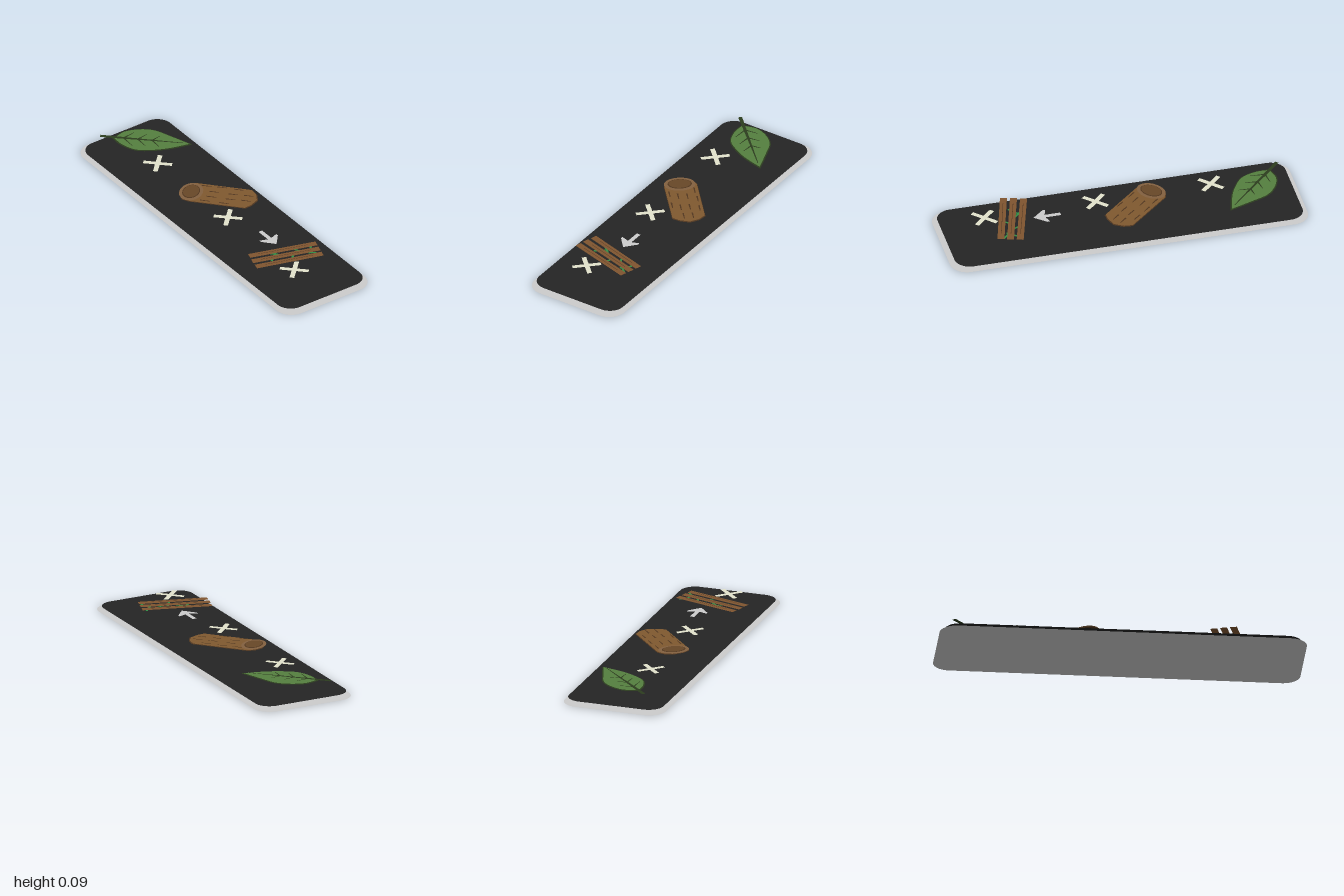
import * as THREE from 'three';

const mat = (color) => new THREE.MeshStandardMaterial({ color, side: THREE.DoubleSide });
const M = {
  rim: mat(0xcccccc), panel: mat(0x242424), cream: mat(0xe2e2cc),
  leaf: mat(0x55803f), leafDark: mat(0x2c3d1e),
  bark: mat(0x80592f), barkDark: mat(0x51371f), core: mat(0x684828), wood: mat(0x83603f),
  slat: mat(0x80552f), tie: mat(0x2f8f45),
};

// Plan coordinates are hundredths of a unit: x to the right, z toward the front
const vec = ([x, z]) => new THREE.Vector2(x / 100, -z / 100);

function flat(name, shape, material, y) {
  const geometry = new THREE.ShapeGeometry(shape, 16).rotateX(-Math.PI / 2);
  const mesh = new THREE.Mesh(geometry, material);
  mesh.name = name;
  mesh.position.y = y;
  return mesh;
}

const poly = (points) => new THREE.Shape(points.map(vec));

// Straight stroke that tapers from width w0 to w1
function stroke([x0, z0], [x1, z1], w0, w1 = w0) {
  const len = Math.hypot(x1 - x0, z1 - z0);
  const nx = -(z1 - z0) / len / 2, nz = (x1 - x0) / len / 2;
  return poly([
    [x0 + nx * w0, z0 + nz * w0], [x0 - nx * w0, z0 - nz * w0],
    [x1 - nx * w1, z1 - nz * w1], [x1 + nx * w1, z1 + nz * w1],
  ]);
}

function roundedPlate(hx, hz, r) {
  const s = new THREE.Shape();
  s.absarc(hx - r, hz - r, r, 0, Math.PI / 2);
  s.absarc(-hx + r, hz - r, r, Math.PI / 2, Math.PI);
  s.absarc(-hx + r, -hz + r, r, Math.PI, Math.PI * 1.5);
  s.absarc(hx - r, -hz + r, r, Math.PI * 1.5, Math.PI * 2);
  return s;
}

function ellipse([x, z], rx, rz, turn) {
  const s = new THREE.Shape();
  s.absellipse(x / 100, -z / 100, rx / 100, rz / 100, 0, Math.PI * 2, false, turn);
  return s;
}

// Copy of a point list shrunk about a centre
const inset = (points, [cx, cz], k) => points.map(([x, z]) => [cx + (x - cx) * k, cz + (z - cz) * k]);

function makeLeaf() {
  const g = new THREE.Group();
  g.name = 'leaf';
  const tip = [-57, -19.5], base = [-87, 12.5];
  const left = [tip, [-70, -15], [-80, -11], [-86, -4.5], [-89, 4], base];
  const right = [base, [-79, 12.5], [-70, 9], [-64, 1], [-60, -8], tip];
  const outline = (k) => {
    const s = new THREE.Shape();
    const sides = [left, right].map((p) => inset(p, [-75, -1], k).map(vec));
    s.moveTo(sides[0][0].x, sides[0][0].y);
    sides.forEach((p) => s.splineThru(p.slice(1)));
    return s;
  };
  g.add(flat('leafEdge', outline(1), M.leafDark, 0.085));
  g.add(flat('leafBlade', outline(0.94), M.leaf, 0.088));
  g.add(flat('leafStem', stroke([-92, 17], [-60, -16], 2.2, 0.4), M.leafDark, 0.092));
  // Side veins branch in pairs from the midrib
  for (const t of [0.28, 0.45, 0.62]) {
    const p = [-92 + 32 * t, 17 - 33 * t];
    g.add(flat('leafVein', stroke(p, [p[0] - 1, p[1] - 9 + 5 * t], 1, 0.3), M.leafDark, 0.092));
    g.add(flat('leafVein', stroke(p, [p[0] + 10 - 5 * t, p[1] + 0.5], 1, 0.3), M.leafDark, 0.092));
  }
  return g;
}

function makeLog() {
  const g = new THREE.Group();
  g.name = 'log';
  const body = [[-27, 5], [-26, 1], [-2, -20.5], [3, -20], [8, -17], [10, -11.5],
    [10.3, -7], [-13, 14], [-17, 16], [-21, 14.5], [-26, 10]];
  g.add(flat('logEdge', poly(body), M.barkDark, 0.085));
  g.add(flat('logBark', poly(inset(body, [-8, -2], 0.97)), M.bark, 0.088));
  // Cut end with its rings
  const end = [-19.5, 8];
  [[8.6, 6.4, M.wood], [6.6, 4.7, M.barkDark], [6, 4.2, M.core]].forEach(([a, b, m], i) =>
    g.add(flat('logEndRing', ellipse(end, a, b, -0.9), m, 0.091 + i * 0.002)));
  // Bark grooves run along the log
  const grooves = [[-19, -2], [-13, -8], [-6, -14], [-12, -2], [-4, -9], [2, -15],
    [-9, 2], [-1, -5], [5, -11], [-8, 7], [0, 0]];
  for (const [x, z] of grooves) {
    g.add(flat('barkGroove', stroke([x - 2, z + 1.8], [x + 2, z - 1.8], 0.9, 0.5), M.barkDark, 0.092));
  }
  return g;
}

function makeBundle() {
  const g = new THREE.Group();
  g.name = 'slatBundle';
  // Ties cross between the slats
  const ties = [[[58, -17], [66, -10]], [[63, -9], [69, -15]], [[56, -5], [63, -8]],
    [[53, 8], [60, 1]], [[60, -3], [66, 1]], [[54, 4], [60, 11]]];
  ties.forEach(([a, b]) => g.add(flat('tie', stroke(a, b, 1.2), M.tie, 0.086)));
  const slats = [[[60.5, -18.5], [49.3, 18.3]], [[65.5, -17], [54.5, 20]], [[70.5, -15.5], [59.8, 21.3]]];
  slats.forEach(([a, b]) => {
    g.add(flat('slat', stroke(a, b, 3.8), M.slat, 0.09));
    g.add(flat('slatGrain', stroke([a[0] - 1.5, a[1] + 5], [b[0] + 1.5, b[1] - 5], 0.3), M.barkDark, 0.092));
  });
  return g;
}

function makeCross(x, z) {
  const g = new THREE.Group();
  g.name = 'crossMark';
  const r = 5.6;
  g.add(flat('crossBar', stroke([x - r, z - r], [x + r, z + r], 2.6), M.cream, 0.09));
  g.add(flat('crossBar', stroke([x - r, z + r], [x + r, z - r], 2.6), M.cream, 0.0905));
  return g;
}

export function createModel() {
  const model = new THREE.Group();
  model.name = 'recipePlaque';

  // Backing plate and dark face
  model.add(flat('rimPlate', roundedPlate(1, 0.29, 0.095), M.rim, 0));
  model.add(flat('facePanel', roundedPlate(0.973, 0.272, 0.085), M.panel, 0.022));

  model.add(makeLeaf(), makeLog(), makeBundle());
  for (const [x, z] of [[-52.5, 6.8], [12.2, 6], [74.3, 6]]) model.add(makeCross(x, z));

  // Arrow pointing to the bundle
  const arrow = poly([[33.3, -1.7], [42, -1.7], [40.5, -6], [42, -6], [48.5, -0.5],
    [42, 5.2], [40.5, 5.2], [42, 0.7], [33.3, 0.7]]);
  model.add(flat('arrow', arrow, M.rim, 0.09));
  return model;
}
